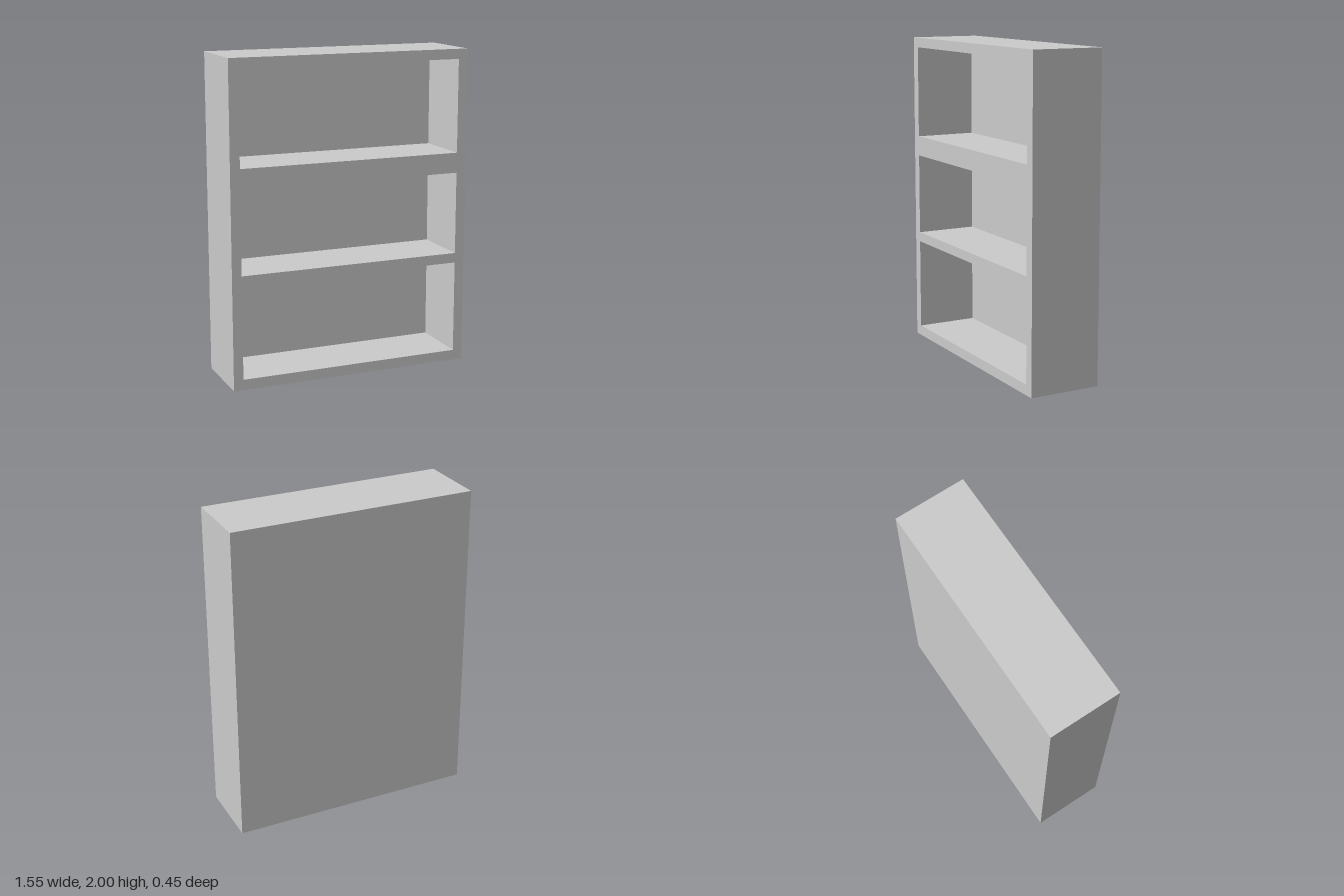
import * as THREE from 'three';

const W = 1.546, H = 2, D = 0.453; // overall size
const BACK = 0.061;                // back panel thickness
const INNER = 0.712;               // half width of the compartments
const BAYS = [[0.065, 0.648], [0.71, 1.228], [1.355, 1.938]]; // bottom and top of each compartment

// Adds a rectangle outline to a shape or path
function rect(path, x, y0, y1) {
  path.moveTo(-x, y0);
  path.lineTo(x, y0);
  path.lineTo(x, y1);
  path.lineTo(-x, y1);
  path.closePath();
  return path;
}

export function createModel() {
  const group = new THREE.Group();
  group.name = 'bookcase';
  const material = new THREE.MeshStandardMaterial({ color: 0xcccccc });

  // Sides, top, base and shelves in one piece, with an opening per compartment
  const outline = rect(new THREE.Shape(), W / 2, 0, H);
  for (const [y0, y1] of BAYS) outline.holes.push(rect(new THREE.Path(), INNER, y0, y1));
  const frame = new THREE.Mesh(
    new THREE.ExtrudeGeometry(outline, { depth: D - BACK, bevelEnabled: false }), material);
  frame.name = 'shelfFrame';
  frame.position.z = -D / 2 + BACK;
  group.add(frame);

  // Solid panel closing the back
  const back = new THREE.Mesh(new THREE.BoxGeometry(W, H, BACK), material);
  back.name = 'backPanel';
  back.position.set(0, H / 2, -D / 2 + BACK / 2);
  group.add(back);

  return group;
}
